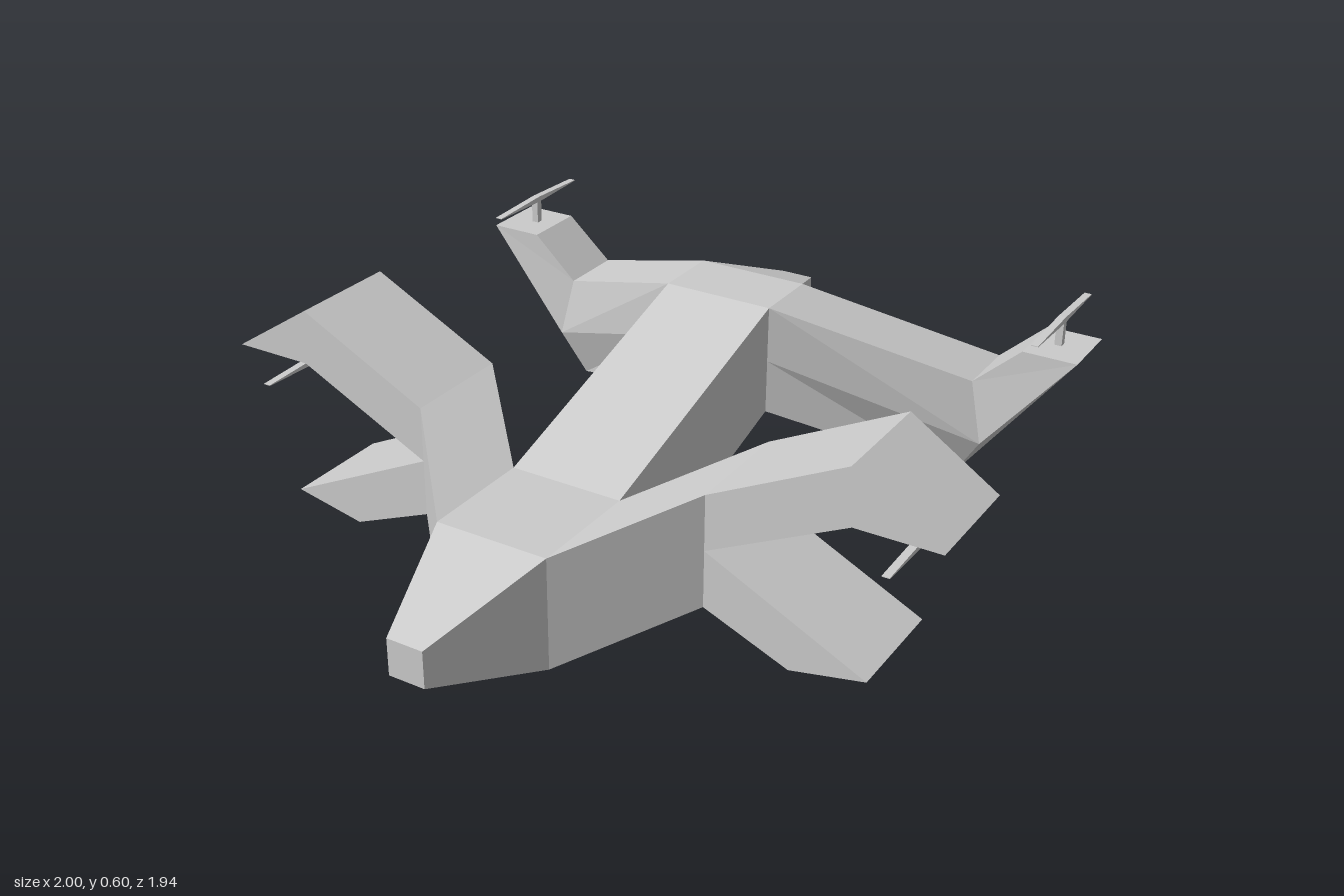
import * as THREE from 'three';

const material = new THREE.MeshStandardMaterial({ color: 0xcccccc, flatShading: true });

// Skins a list of equal-length point loops, caps both ends and turns faces outward
function loft(name, sections) {
  const tris = [];
  const n = sections[0].length;
  for (let s = 0; s < sections.length - 1; s++) {
    const a = sections[s], b = sections[s + 1];
    for (let i = 0; i < n; i++) {
      const j = (i + 1) % n;
      tris.push([a[i], a[j], b[j]], [a[i], b[j], b[i]]);
    }
  }
  const first = sections[0], last = sections[sections.length - 1];
  for (let i = 1; i < n - 1; i++) {
    tris.push([first[0], first[i + 1], first[i]], [last[0], last[i], last[i + 1]]);
  }
  const v = (p) => new THREE.Vector3(...p);
  const volume = tris.reduce((sum, [a, b, c]) => sum + v(a).dot(v(b).cross(v(c))), 0);
  if (volume < 0) tris.forEach((t) => t.reverse());
  const geometry = new THREE.BufferGeometry();
  geometry.setAttribute('position', new THREE.Float32BufferAttribute(tris.flat(2), 3));
  geometry.computeVertexNormals();
  const mesh = new THREE.Mesh(geometry, material);
  mesh.name = name;
  return mesh;
}

// Straight part with an x-y outline running along z
function prism(name, outline, z0, z1) {
  const shape = new THREE.Shape(outline.map(([x, y]) => new THREE.Vector2(x, y)));
  const geometry = new THREE.ExtrudeGeometry(shape, { depth: z1 - z0, bevelEnabled: false });
  geometry.translate(0, 0, z0);
  const mesh = new THREE.Mesh(geometry, material);
  mesh.name = name;
  return mesh;
}

// Two-bladed propeller on a short shaft; dir is +1 above its mount, -1 below
function propeller(name, x, y, z, dir) {
  const group = new THREE.Group();
  group.name = name;
  const shaft = new THREE.Mesh(new THREE.BoxGeometry(0.02, 0.07, 0.02), material);
  shaft.name = 'shaft';
  shaft.position.y = dir * 0.035;
  const y0 = dir * 0.072;
  const slice = (zz, h) => [[-0.01, y0 - h, zz], [0.01, y0 - h, zz], [0.01, y0 + h, zz], [-0.01, y0 + h, zz]];
  group.add(shaft, loft('blades', [slice(-0.195, 0.001), slice(0, 0.008), slice(0.195, 0.001)]));
  group.position.set(x, y, z);
  return group;
}

export function createModel() {
  const model = new THREE.Group();

  // Fuselage: [z, half width, bottom, top]
  const stations = [
    [0.97, 0.05, 0.11, 0.21], [0.64, 0.155, 0.005, 0.31], [0.33, 0.155, 0.005, 0.31],
    [-0.405, 0.155, 0.23, 0.535], [-0.595, 0.155, 0.23, 0.535], [-0.87, 0.045, 0.33, 0.43],
  ];
  model.add(loft('fuselage', stations.map(([z, w, b, t]) => [[-w, b, z], [w, b, z], [w, t, z], [-w, t, z]])));

  for (const side of [1, -1]) {
    const label = side > 0 ? 'left' : 'right';
    const mirror = (points) => points.map(([x, ...rest]) => [side * x, ...rest]);

    // Front arm sweeping back and up to the wing pair
    const armEnd = (x, b, t, z0, z1) => mirror([[x, b, z0], [x, t, z0], [x, t, z1], [x, b, z1]]);
    model.add(loft(label + 'FrontArm', [
      armEnd(0.155, 0.005, 0.31, 0.64, 0.33), armEnd(0.41, 0.115, 0.42, 0.365, 0.06),
    ]));

    // Split wings
    model.add(prism(label + 'UpperWing',
      mirror([[0.41, 0.27], [0.78, 0.45], [1, 0.45], [0.77, 0.6], [0.41, 0.42]]), 0.06, 0.365));
    model.add(prism(label + 'LowerWing',
      mirror([[0.41, 0.115], [0.64, 0.02], [0.84, 0.06], [0.41, 0.27]]), 0.06, 0.365));
    model.add(propeller(label + 'FrontPropeller', side * 0.885, 0.45, 0.21, -1));

    // Rear arm: dips to an elbow with a ridge, then rises to a flat tip
    const d = side > 0 ? -0.02 : 0;
    const root = [[0.155, 0.535, -0.405], [0.155, 0.38, -0.405], [0.155, 0.23, -0.405],
      [0.155, 0.23, -0.595], [0.155, 0.38, -0.595], [0.155, 0.535, -0.595]];
    const elbow = [[0.65 + d, 0.33, -0.68], [0.69 + d, 0.155, -0.67], [0.615 + d, 0.035, -0.69],
      [0.61 + d, 0.045, -0.875], [0.685 + d, 0.16, -0.855], [0.65 + d, 0.33, -0.87]];
    const tipIn = 0.78 + d, tipOut = 0.93 + d;
    const tip = [[tipIn, 0.45, -0.68], [tipOut, 0.45, -0.68], [tipOut, 0.45, -0.68],
      [tipOut, 0.45, -0.865], [tipOut, 0.45, -0.865], [tipIn, 0.45, -0.865]];
    model.add(loft(label + 'RearArm', [root, elbow, tip].map(mirror)));
    model.add(propeller(label + 'RearPropeller', side * (0.845 + d), 0.45, -0.775, 1));
  }
  return model;
}
